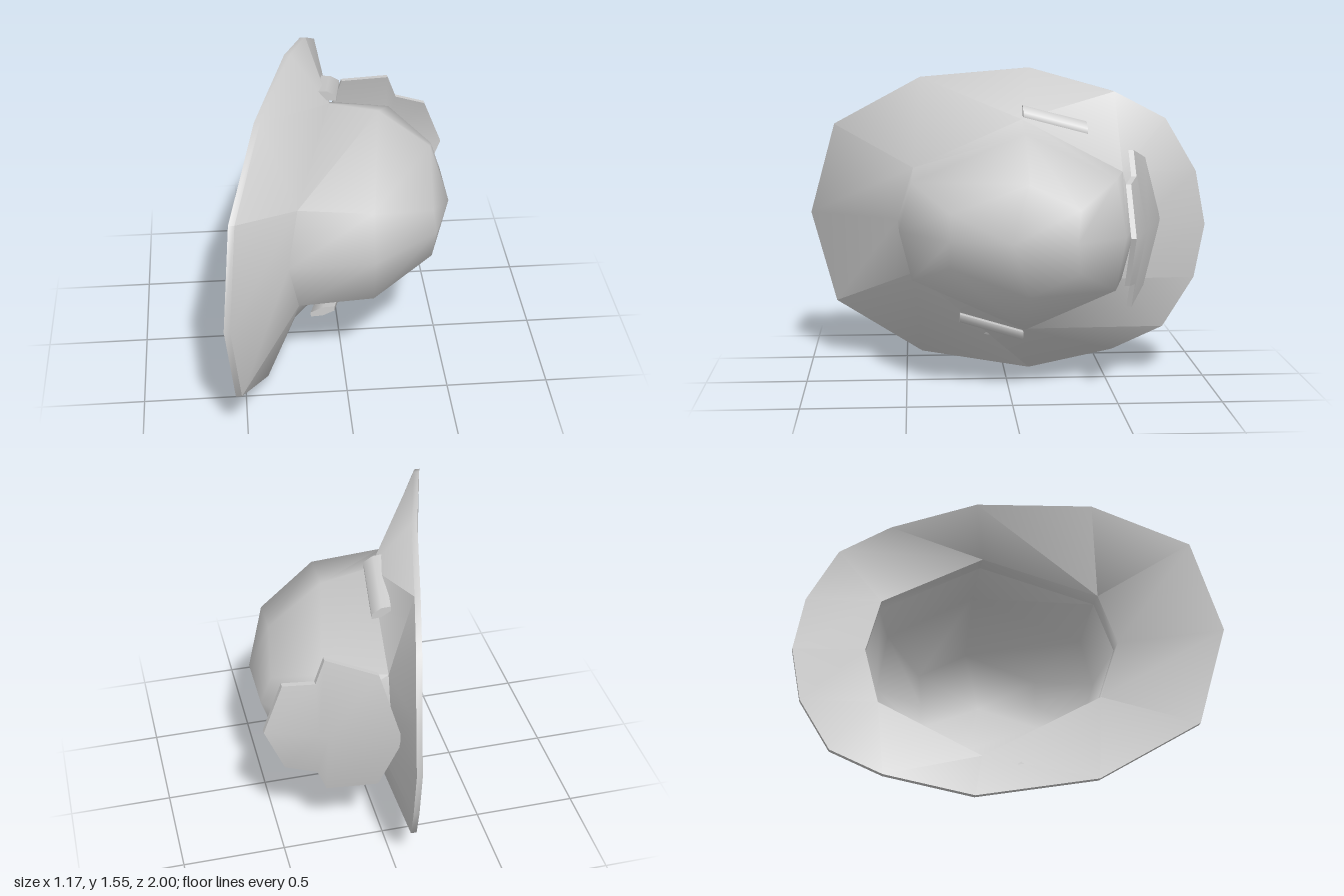
import * as THREE from 'three';
import { toCreasedNormals } from 'three/addons/utils/BufferGeometryUtils.js';

const CY = 0.78; // height of the mirror plane

// Full ring from half a ring of [x, dy, z], front to back
function ring(half) {
  const other = half.slice(1, -1).reverse().map(([x, dy, z]) => [x, -dy, z]);
  return [...half, ...other].map(([x, dy, z]) => new THREE.Vector3(x, CY + dy, z));
}

// Skin over a series of closed rings, leaving out empty triangles
function loft(rings, crease) {
  const pos = [];
  const tri = (a, b, c) => {
    const area = b.clone().sub(a).cross(c.clone().sub(a)).length();
    if (area > 1e-7) for (const p of [a, b, c]) pos.push(p.x, p.y, p.z);
  };
  for (let i = 0; i < rings.length - 1; i++) {
    const n = rings[i].length;
    for (let j = 0; j < n; j++) {
      const k = (j + 1) % n;
      tri(rings[i][j], rings[i + 1][j], rings[i + 1][k]);
      tri(rings[i][j], rings[i + 1][k], rings[i][k]);
    }
  }
  const geo = new THREE.BufferGeometry();
  geo.setAttribute('position', new THREE.Float32BufferAttribute(pos, 3));
  return toCreasedNormals(geo, crease);
}

// Box whose vertices are moved by a rule
function shapedBox(sx, sy, sz, crease, rule) {
  const geo = new THREE.BoxGeometry(1, 1, 1, sx, sy, sz);
  const p = geo.attributes.position;
  for (let i = 0; i < p.count; i++) p.setXYZ(i, ...rule(p.getX(i), p.getY(i), p.getZ(i)));
  return toCreasedNormals(geo, crease);
}

export function createModel() {
  const group = new THREE.Group();
  const mat = new THREE.MeshStandardMaterial({ color: 0xcccccc, side: THREE.DoubleSide });
  const add = (name, geo) => {
    const mesh = new THREE.Mesh(geo, mat);
    mesh.name = name;
    group.add(mesh);
  };
  const shift = (half, d) => half.map(([x, dy, z]) => [x + d, dy, z]);
  // Spread the crown's eight sides over the brim's fourteen corners
  const spread = (half) => [0, 1, 1, 2, 2, 3, 3, 4].map((i) => half[i]);

  // Crown: eight-sided dome, opening towards -x
  const base = spread([[-0.28, 0, 0.54], [-0.23, 0.27, 0.46], [-0.04, 0.53, -0.08], [0, 0.27, -0.58], [0, 0, -0.65]]);
  const crown = [
    base,
    spread([[0.13, 0, 0.53], [0.13, 0.24, 0.47], [0.2, 0.48, -0.08], [0.3, 0.27, -0.51], [0.37, 0, -0.55]]),
    spread([[0.45, 0, 0.29], [0.43, 0.13, 0.29], [0.46, 0.27, -0.08], [0.5, 0.15, -0.32], [0.55, 0, -0.3]]),
    Array(8).fill([0.55, 0, 0]),
  ];

  // Brim: wide oval with a thin lip, running smoothly into the crown at the front
  const edge = [[-0.59, 0, 1], [-0.55, 0.47, 0.87], [-0.415, 0.72, 0.42], [-0.25, 0.775, -0.13],
    [-0.15, 0.66, -0.55], [-0.09, 0.53, -0.8], [-0.055, 0.27, -0.95], [-0.05, 0, -1]];
  const brim = [base, shift(base, -0.09), edge, shift(edge, 0.028)];
  add('crownAndBrim', loft([...brim, ...crown].map(ring), 1.2));

  // Back plate: bent along its middle, wide near the brim, stepped in to a blunt point
  const rows = [[-0.02, 0.32, 0.09], [0.3, 0.38, 0], [0.345, 0.26, 0], [0.585, 0.24, -0.095]];
  add('backPlate', shapedBox(3, 2, 1, 0.7, (u, v, w) => {
    const [x0, half, bow] = rows[Math.round((u + 0.5) * 3)];
    const t = Math.abs(v * 2);
    const x = x0 + bow * t;
    return [x, CY + 0.03 + 2 * v * half, -0.755 + 0.345 * x + 0.2 * t * half + w * 0.025];
  }));

  // Side tabs: small rounded slabs where the crown meets the brim, from end a to end b as [x, y, z]
  const tab = (name, a, b, width, tilt) => add(name, shapedBox(2, 1, 1, 1.2, (u, v, w) => {
    const [x, y, z] = a.map((s, i) => THREE.MathUtils.lerp(s, b[i], w + 0.5));
    const thick = u === 0 ? 0.05 : 0.025;
    return [x + u * width, y + v * thick + u * tilt, z];
  }));
  tab('upperTab', [-0.01, 1.27, -0.4], [-0.05, 1.35, -0.085], 0.09, -0.03);
  tab('lowerTab', [-0.03, 0.22, -0.085], [-0.1, 0.3, 0.23], 0.12, 0.03);

  return group;
}
